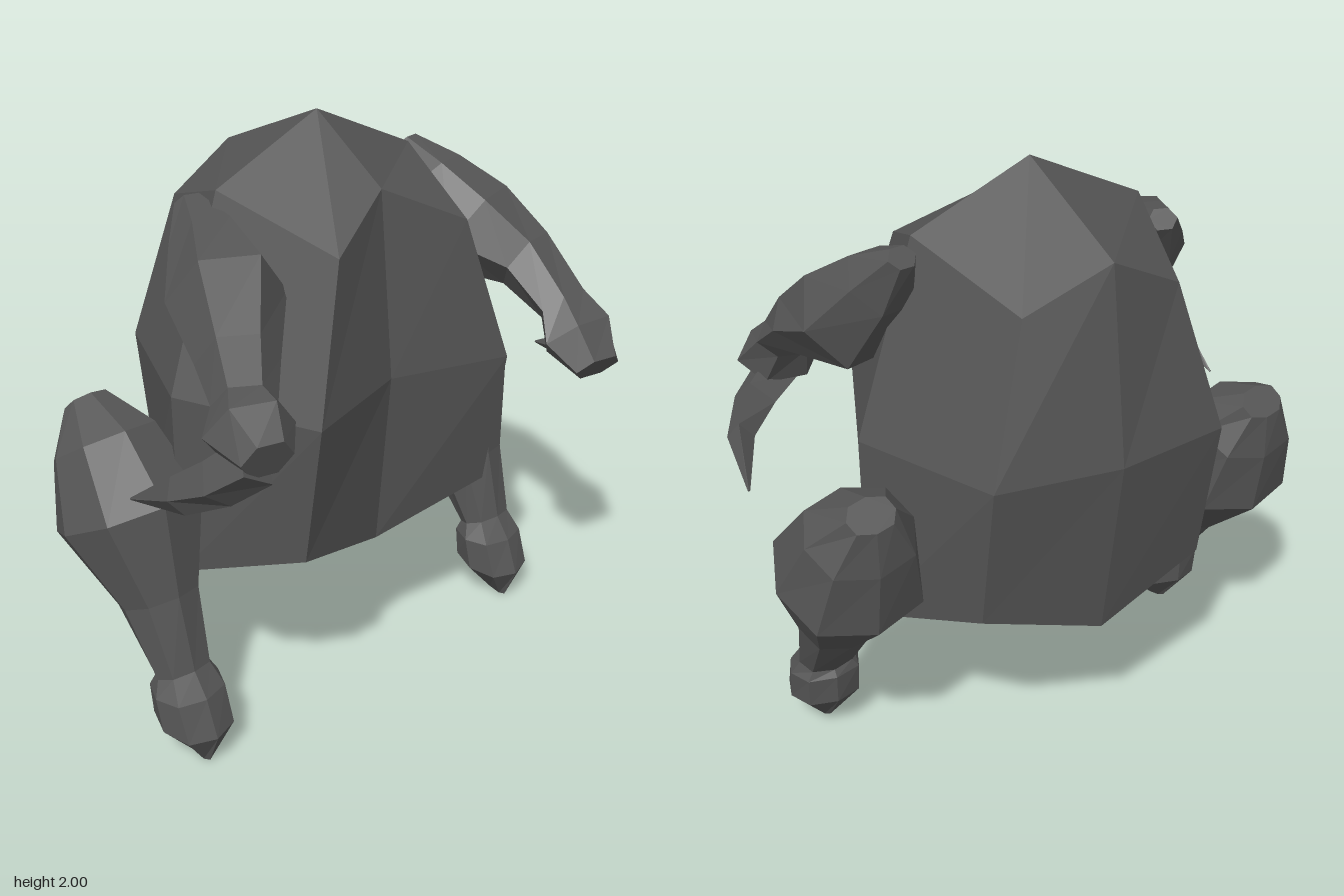
import * as THREE from 'three';

const skin = new THREE.MeshStandardMaterial({ color: 0x555555, flatShading: true });
skin.name = 'dark grey';

function addMesh(parent, name, geo) {
  const flat = geo.index ? geo.toNonIndexed() : geo;
  flat.computeVertexNormals();
  const mesh = new THREE.Mesh(flat, skin);
  mesh.name = name;
  parent.add(mesh);
  return mesh;
}

// Skins a list of rings {c, u, v} (u x v points along the limb) and caps both ends
function loft(rings, sides, diagonal = 1) {
  const pos = [], idx = [];
  for (const { c, u, v } of rings) {
    for (let j = 0; j < sides; j++) {
      const a = (j / sides) * Math.PI * 2;
      const k = j % 2 ? diagonal : 1;
      const p = c.clone().addScaledVector(u, Math.cos(a) * k).addScaledVector(v, Math.sin(a) * k);
      pos.push(p.x, p.y, p.z);
    }
  }
  const last = rings.length - 1;
  for (let i = 0; i < last; i++) {
    for (let j = 0; j < sides; j++) {
      const a = i * sides + j, b = i * sides + (j + 1) % sides;
      idx.push(a, b, b + sides, a, b + sides, a + sides);
    }
  }
  for (let j = 1; j < sides - 1; j++) {
    idx.push(0, j + 1, j);
    idx.push(last * sides, last * sides + j, last * sides + j + 1);
  }
  const geo = new THREE.BufferGeometry();
  geo.setAttribute('position', new THREE.Float32BufferAttribute(pos, 3));
  geo.setIndex(idx);
  return geo;
}

// Limb through stations [x, y, z, half width, half height]
function limb(stations, sides) {
  const pts = stations.map(s => new THREE.Vector3(s[0], s[1], s[2]));
  const up = new THREE.Vector3(0, 1, 0);
  return loft(stations.map((s, i) => {
    const d = pts[Math.min(i + 1, pts.length - 1)].clone().sub(pts[Math.max(i - 1, 0)]).normalize();
    const u = up.clone().cross(d).normalize();
    const v = d.clone().cross(u);
    return { c: pts[i], u: u.multiplyScalar(s[3]), v: v.multiplyScalar(s[4]) };
  }), sides);
}

// Torso: a 2x2x2 box whose points move to half width, height and depth by grid place
const torsoShape = {
  '0,1,1': [0, 1.81, 0.2], '1,1,1': [0.27, 1.68, 0.31],
  '0,1,0': [0, 2.0, -0.1], '1,1,0': [0.405, 1.82, -0.1],
  '0,1,-1': [0, 1.81, -0.565], '1,1,-1': [0.27, 1.68, -0.515],
  '0,0,1': [0, 1.19, 0.26], '1,0,1': [0.41, 1.19, 0.39],
  '1,0,0': [0.61, 1.19, -0.1],
  '0,0,-1': [0, 1.19, -0.655], '1,0,-1': [0.41, 1.19, -0.595],
  '0,-1,1': [0, 0.56, 0.2], '1,-1,1': [0.41, 0.69, 0.31],
  '0,-1,0': [0, 0.37, -0.1], '1,-1,0': [0.61, 0.54, -0.1],
  '0,-1,-1': [0, 0.56, -0.565], '1,-1,-1': [0.41, 0.69, -0.515],
};

function torsoGeometry() {
  const geo = new THREE.BoxGeometry(2, 2, 2, 2, 2, 2);
  const p = geo.attributes.position;
  for (let i = 0; i < p.count; i++) {
    const [x, y, z] = [p.getX(i), p.getY(i), p.getZ(i)].map(n => Math.round(n));
    const [w, h, d] = torsoShape[`${Math.abs(x)},${y + 0},${z + 0}`];
    p.setXYZ(i, 0.018 + Math.sign(x) * w, h, d);
  }
  return geo;
}

// Leg rings, foot to hip: front z, front y, back z, back y, half width
const legRings = [
  [0.2, 0.0, 0.08, 0.03, 0.02],
  [0.25, 0.12, -0.01, 0.15, 0.122],
  [0.2, 0.25, -0.015, 0.255, 0.125],
  [0.14, 0.33, 0.0, 0.28, 0.098],
  [0.075, 0.585, -0.165, 0.48, 0.13],
  [0.03, 0.9, -0.4, 0.685, 0.24],
  [-0.17, 1.09, -0.435, 0.91, 0.18],
  [-0.36, 1.155, -0.43, 1.065, 0.08],
];

function legGeometry() {
  return loft(legRings.map(([zf, yf, zb, yb, w]) => ({
    c: new THREE.Vector3(0, (yf + yb) / 2, (zf + zb) / 2),
    u: new THREE.Vector3(-w, 0, 0),
    v: new THREE.Vector3(0, (yf - yb) / 2, (zf - zb) / 2),
  })), 8, 1.06);
}

// Arms hang in different poses; each ends in a claw hooked backwards
const arms = {
  left: {
    arm: [
      [0.49, 1.79, -0.18, 0.05, 0.04],
      [0.51, 1.685, -0.07, 0.12, 0.12],
      [0.56, 1.535, 0.08, 0.18, 0.18],
      [0.63, 1.455, 0.27, 0.12, 0.11],
      [0.635, 1.34, 0.44, 0.105, 0.075],
      [0.64, 1.25, 0.51, 0.145, 0.11],
      [0.62, 1.17, 0.62, 0.09, 0.06],
    ],
    claw: [
      [0.64, 1.18, 0.54, 0.09, 0.08],
      [0.76, 1.13, 0.45, 0.075, 0.075],
      [0.86, 1.07, 0.33, 0.045, 0.06],
      [0.925, 1.0, 0.1, 0.004, 0.004],
    ],
  },
  right: {
    arm: [
      [-0.4, 1.76, -0.22, 0.05, 0.04],
      [-0.43, 1.67, -0.1, 0.12, 0.12],
      [-0.495, 1.56, 0.08, 0.185, 0.19],
      [-0.62, 1.46, 0.29, 0.125, 0.12],
      [-0.7, 1.4, 0.42, 0.095, 0.085],
      [-0.74, 1.36, 0.49, 0.135, 0.12],
      [-0.765, 1.32, 0.6, 0.08, 0.07],
    ],
    claw: [
      [-0.76, 1.29, 0.54, 0.09, 0.08],
      [-0.82, 1.2, 0.44, 0.075, 0.075],
      [-0.865, 1.12, 0.31, 0.04, 0.06],
      [-0.865, 1.0, 0.06, 0.004, 0.004],
    ],
  },
};

export function createModel() {
  const model = new THREE.Group();
  model.name = 'clawedCreature';
  addMesh(model, 'torso', torsoGeometry());

  for (const [side, sign] of [['left', 1], ['right', -1]]) {
    addMesh(model, side + 'Leg', legGeometry()).position.x = sign * 0.725;
    addMesh(model, side + 'Arm', limb(arms[side].arm, 6));
    addMesh(model, side + 'Claw', limb(arms[side].claw, 4));
  }
  return model;
}
